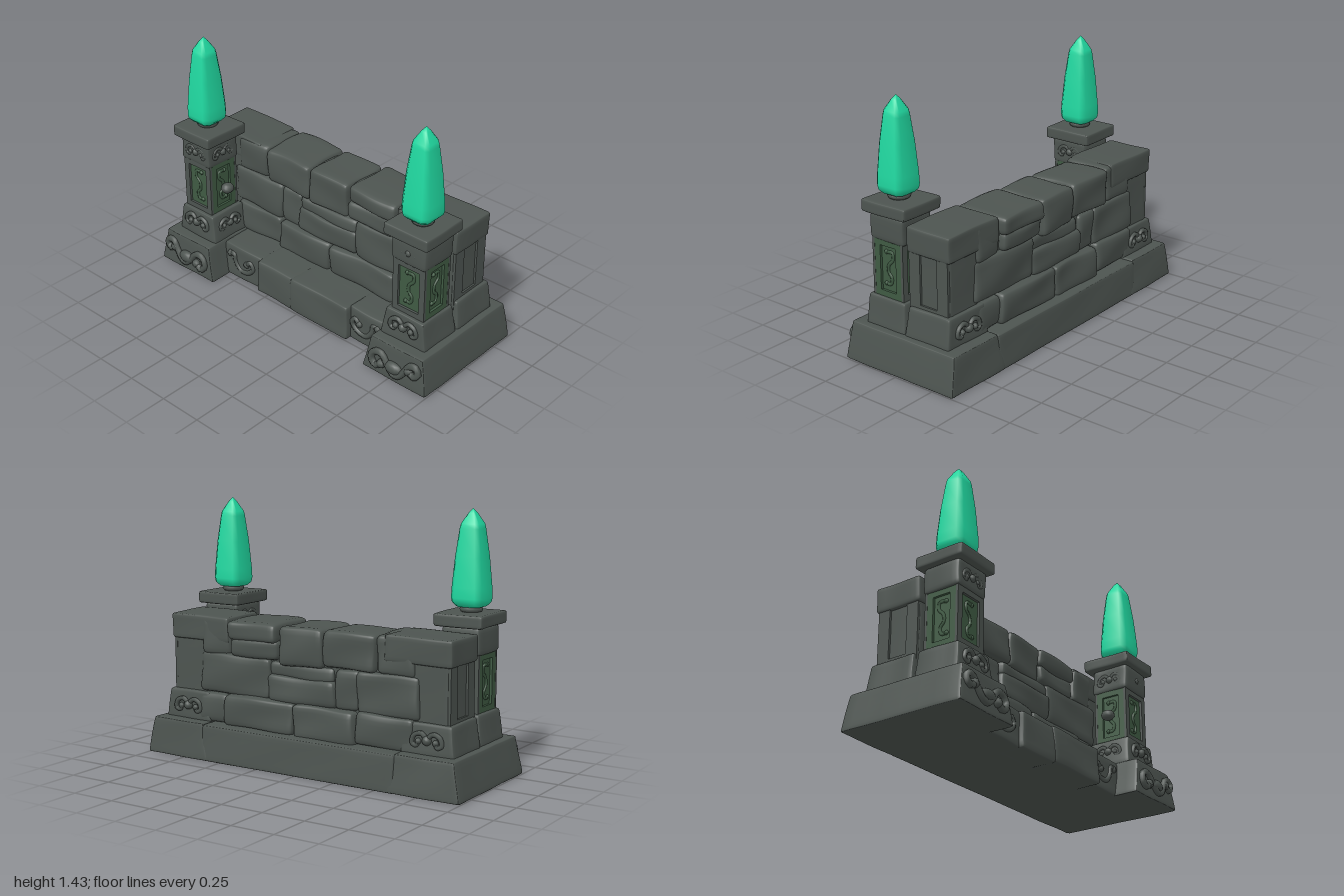
import * as THREE from 'three';
import { mergeVertices } from 'three/addons/utils/BufferGeometryUtils.js';

const mat = (name, color) => Object.assign(new THREE.MeshStandardMaterial({ color }), { name });

export function createModel() {
  const root = new THREE.Group();
  root.name = 'stoneWall';
  const stoneMat = mat('stone', 0x4d5450);
  const mossMat = mat('mossyStone', 0x3f5a43);
  const crystalMat = mat('crystal', 0x20d8a0);
  let seed = 1;

  function add(parent, name, geo, material = stoneMat) {
    const mesh = new THREE.Mesh(geo, material);
    mesh.name = name;
    parent.add(mesh);
    return mesh;
  }

  // Drop seams so that normals run smoothly over the whole surface
  function weld(geo) {
    geo.deleteAttribute('uv');
    geo.deleteAttribute('normal');
    return mergeVertices(geo);
  }

  // Weathered block: subdivided box with rounded edges, top taper and gentle lumps
  function block(parent, name, [x0, x1, y0, y1, z0, z1], { r = 0.03, amp = 0.01, tx = 1, tz = 1, dx = 0 } = {}) {
    const g = weld(new THREE.BoxGeometry(1, 1, 1, 16, 10, 10));
    const h = new THREE.Vector3((x1 - x0) / 2, (y1 - y0) / 2, (z1 - z0) / 2);
    const inner = h.clone().subScalar(r);
    const c = new THREE.Vector3((x0 + x1) / 2, (y0 + y1) / 2, (z0 + z1) / 2);
    const p = new THREE.Vector3(), q = new THREE.Vector3();
    const pos = g.attributes.position;
    const k = seed++ * 2.37;
    for (let i = 0; i < pos.count; i++) {
      p.fromBufferAttribute(pos, i);
      p.set(Math.sin(Math.PI * p.x), Math.sin(Math.PI * p.y), Math.sin(Math.PI * p.z)).multiply(h);
      q.copy(p).clamp(inner.clone().negate(), inner);
      p.sub(q).setLength(r).add(q);
      const t = (p.y + h.y) / (2 * h.y);
      const n = new THREE.Vector3(
        Math.sin(p.y * 17 + k) + Math.sin(p.z * 23 + k * 2),
        0.6 * (Math.sin(p.x * 15 + k * 3) + Math.sin(p.z * 14 + k)),
        Math.sin(p.x * 16 + k * 1.7) + Math.sin(p.y * 24 + p.x * 9 + k));
      p.x = p.x * (1 + (tx - 1) * t) + dx * t;
      p.z *= 1 + (tz - 1) * t;
      p.addScaledVector(n, amp / 2).add(c);
      pos.setXYZ(i, p.x, Math.max(0, p.y), p.z);
    }
    g.computeVertexNormals();
    return add(parent, name, g);
  }

  // Raised carving: a tube through flat points, with a rounded bead at each end
  function relief(parent, name, pts, r, [x, y, z], rotY = 0, material = stoneMat, tilt = 0) {
    const group = new THREE.Group();
    group.name = name;
    const v = pts.map(([a, b]) => new THREE.Vector3(a, b, 0));
    add(group, 'carvedStem', new THREE.TubeGeometry(new THREE.CatmullRomCurve3(v), 32, r, 6), material);
    for (const e of [v[0], v[v.length - 1]]) {
      add(group, 'carvedTip', new THREE.SphereGeometry(r * 1.3, 8, 6), material).position.copy(e);
    }
    group.position.set(x, y, z);
    group.rotation.set(tilt, rotY, 0, 'YXZ');
    parent.add(group);
  }

  // Rectangular frame facing +z, turned by rotY
  function frame(parent, name, w, h, bar, depth, pos, rotY, material) {
    const rect = (T, a, b) => new T().moveTo(-a, -b).lineTo(a, -b).lineTo(a, b).lineTo(-a, b).closePath();
    const shape = rect(THREE.Shape, w / 2, h / 2);
    shape.holes.push(rect(THREE.Path, w / 2 - bar, h / 2 - bar));
    const m = add(parent, name, new THREE.ExtrudeGeometry(shape, { depth, bevelEnabled: false }), material);
    m.position.set(...pos);
    m.rotation.y = rotY;
  }

  const curl = [[0, 0.005], [0.035, 0.035], [0.075, 0.02], [0.085, -0.02], [0.06, -0.03], [0.05, -0.008]];
  const serpent = [[0.1, 0.02], [0.13, 0], [0.16, 0.02], [0.15, 0.055], [0.11, 0.055], [0.08, 0.01], [0.04, -0.04],
    [0, -0.045], [-0.04, -0.005], [-0.08, 0.04], [-0.13, 0.035], [-0.15, -0.01], [-0.12, -0.045], [-0.08, -0.02]];
  const tail = [[0.1, 0.05], [0.07, 0.055], [0.06, 0.01], [0.02, -0.035], [-0.04, -0.03], [-0.08, 0.01], [-0.06, 0.045], [-0.03, 0.02]];
  const vine = [[-0.02, 0.09], [0.02, 0.09], [0.022, 0.05], [-0.005, 0.02], [-0.008, -0.02], [0.014, -0.05], [0.005, -0.085], [-0.025, -0.085]];
  const flip = (pts, s) => pts.map(([a, b]) => [a * s, b]);

  // Pair of mirrored curls around a central boss
  function scrollwork(parent, pos, rotY, k = 1) {
    for (const s of [-1, 1]) {
      relief(parent, 'scroll', curl.map(([a, b]) => [a * s * k, b * k]), 0.013 * k, pos, rotY);
    }
    const boss = add(parent, 'scrollBoss', new THREE.SphereGeometry(0.026 * k, 10, 8));
    boss.position.set(...pos);
  }

  // Central base: one straight strip behind, slabs in front [x0, x1, front z]
  block(root, 'baseStrip', [-0.62, 0.62, 0, 0.205, -0.387, 0.1], { r: 0.012, amp: 0.002, tz: 0.95 });
  for (const [a, b, f] of [[-0.62, -0.31, 0.215], [-0.33, -0.04, 0.24], [-0.06, 0.37, 0.25], [0.35, 0.62, 0.215]]) {
    block(root, 'baseSlab', [a, b, 0, 0.207, -0.25, f], { r: 0.02, amp: 0.006, tz: 0.96 });
  }

  // Wall core and courses: [x0, x1, y0, y1, back z, front z]
  block(root, 'wallCore', [-0.8, 0.8, 0.15, 0.77, -0.26, -0.04], { amp: 0 });
  const courses = [
    [-0.68, -0.33, 0.2, 0.38, -0.31, 0.02], [-0.34, 0.05, 0.19, 0.38, -0.32, 0.04],
    [0.04, 0.51, 0.2, 0.38, -0.325, 0.035], [0.5, 0.7, 0.2, 0.37, -0.3, 0.02],
    [-0.71, -0.33, 0.37, 0.6, -0.29, 0.01], [-0.35, -0.19, 0.37, 0.59, -0.28, 0],
    [-0.21, 0.23, 0.37, 0.52, -0.295, 0.025], [-0.2, 0.22, 0.5, 0.59, -0.28, 0.01],
    [0.22, 0.7, 0.37, 0.6, -0.295, 0.015],
    [-0.68, -0.45, 0.59, 0.795, -0.285, 0.005], [-0.46, -0.13, 0.59, 0.793, -0.3, 0.01],
    [-0.13, 0.15, 0.575, 0.79, -0.305, 0.01], [0.16, 0.49, 0.69, 0.795, -0.32, 0.015],
    [0.16, 0.48, 0.59, 0.7, -0.305, 0.01], [0.49, 0.68, 0.59, 0.795, -0.285, 0.005],
  ];
  for (const c of courses) block(root, 'wallStone', c, { r: 0.032, amp: 0.01 });

  for (const s of [1, -1]) {
    const side = new THREE.Group();
    side.name = s > 0 ? 'leftEnd' : 'rightEnd';
    root.add(side);
    const span = (a, b, ...rest) => (s > 0 ? [a, b, ...rest] : [-b, -a, ...rest]);
    const X = 0.78 * s, Z = 0.135;

    // Sloping foot under the pillar and wall end
    block(side, 'foot', span(0.57, 1, 0, 0.21, -0.387, 0.352), { r: 0.012, amp: 0.003, tx: 0.8, tz: 0.95, dx: 0.005 * s });
    relief(side, 'footSerpent', flip(serpent, s), 0.02, [0.785 * s, 0.1, 0.35], 0, stoneMat, -0.09);
    const coil = add(side, 'footCoil', new THREE.SphereGeometry(0.045, 12, 8));
    coil.position.set(0.785 * s, 0.09, 0.348);
    coil.scale.set(1.3, 0.8, 0.7);
    relief(side, 'slabSerpent', flip(tail, s), 0.016, [0.46 * s, 0.1, 0.208]);

    // Wall end with a sunken panel
    block(side, 'wallEnd', span(0.66, 0.874, 0.3, 0.78, -0.272, -0.008), { r: 0.012, amp: 0.002 });
    frame(side, 'wallEndFrame', 0.256, 0.42, 0.072, 0.016, [0.87 * s, 0.525, -0.14], s * Math.PI / 2);
    block(side, 'wallEndTop', span(0.5, 0.895, 0.66, 0.802, -0.285, 0), { r: 0.015, amp: 0.004 });
    block(side, 'wallEndBase', span(0.61, 0.925, 0.2, 0.37, -0.305, -0.005), { r: 0.015, amp: 0.004, tx: 0.88, tz: 0.92 });
    scrollwork(side, [0.77 * s, 0.285, -0.302], Math.PI);

    // Pillar base
    block(side, 'pillarBase', span(0.625, 0.925, 0.2, 0.37, 0, 0.27), { r: 0.015, amp: 0.004, tx: 0.83, tz: 0.92 });
    scrollwork(side, [0.775 * s, 0.3, 0.266], 0);
    scrollwork(side, [0.64 * s, 0.295, Z], -s * Math.PI / 2, 0.9);

    // Shaft with framed mossy panels and a vine carving on each
    add(side, 'shaft', new THREE.BoxGeometry(0.18, 0.34, 0.18), mossMat).position.set(X, 0.525, Z);
    for (let i = 0; i < 4; i++) {
      const a = i * Math.PI / 2, sx = Math.sin(a), cz = Math.cos(a), onX = i % 2 === 1;
      frame(side, 'shaftFrame', onX ? 0.178 : 0.21, 0.32, 0.036, 0.015,
        [X + sx * 0.089, 0.525, Z + cz * 0.089], a, onX ? mossMat : stoneMat);
      if (i !== 2) relief(side, 'panelVine', flip(vine, s), 0.01, [X + sx * 0.089, 0.525, Z + cz * 0.089], a, mossMat);
    }
    const knob = add(side, 'shaftKnob', new THREE.SphereGeometry(0.036, 12, 8));
    knob.position.set(0.645 * s, 0.52, Z);
    knob.scale.set(1, 0.85, 1.1);

    // Capital, slab and collar
    block(side, 'capital', span(0.667, 0.893, 0.675, 0.825, 0.02, 0.25), { r: 0.02, amp: 0.005 });
    scrollwork(side, [X, 0.75, 0.241], 0, 0.85);
    scrollwork(side, [0.676 * s, 0.75, Z], -s * Math.PI / 2, 0.85);
    block(side, 'capSlab', span(0.637, 0.92, 0.822, 0.89, -0.015, 0.28), { r: 0.012, amp: 0.003 });
    const collar = add(side, 'collar', new THREE.TorusGeometry(0.046, 0.016, 8, 20));
    collar.position.set(X, 0.905, 0.14);
    collar.rotation.x = Math.PI / 2;
    add(side, 'neck', new THREE.CylinderGeometry(0.045, 0.052, 0.05, 16)).position.set(X, 0.91, 0.14);

    // Crystal: eight-sided lathe pushed towards a softly chamfered square
    const profile = [[0, 0.912], [0.066, 0.918], [0.086, 0.94], [0.09, 0.965], [0.088, 1.02], [0.075, 1.18],
      [0.057, 1.325], [0.052, 1.35], [0.02, 1.405], [0, 1.43]];
    const crystal = weld(new THREE.LatheGeometry(
      profile.map(([w, y]) => new THREE.Vector2(w / Math.cos(Math.PI / 8), y)), 8, Math.PI / 8));
    const cp = crystal.attributes.position;
    for (let i = 0; i < cp.count; i++) {
      let x = cp.getX(i), z = cp.getZ(i);
      const m = Math.max(Math.abs(x), Math.abs(z)) * 0.68;
      if (Math.abs(x) > Math.abs(z)) z = Math.sign(z) * m; else x = Math.sign(x) * m;
      cp.setXYZ(i, x, cp.getY(i), z);
    }
    crystal.computeVertexNormals();
    add(side, 'crystal', crystal, crystalMat).position.set(X, 0, 0.143);
  }
  return root;
}
